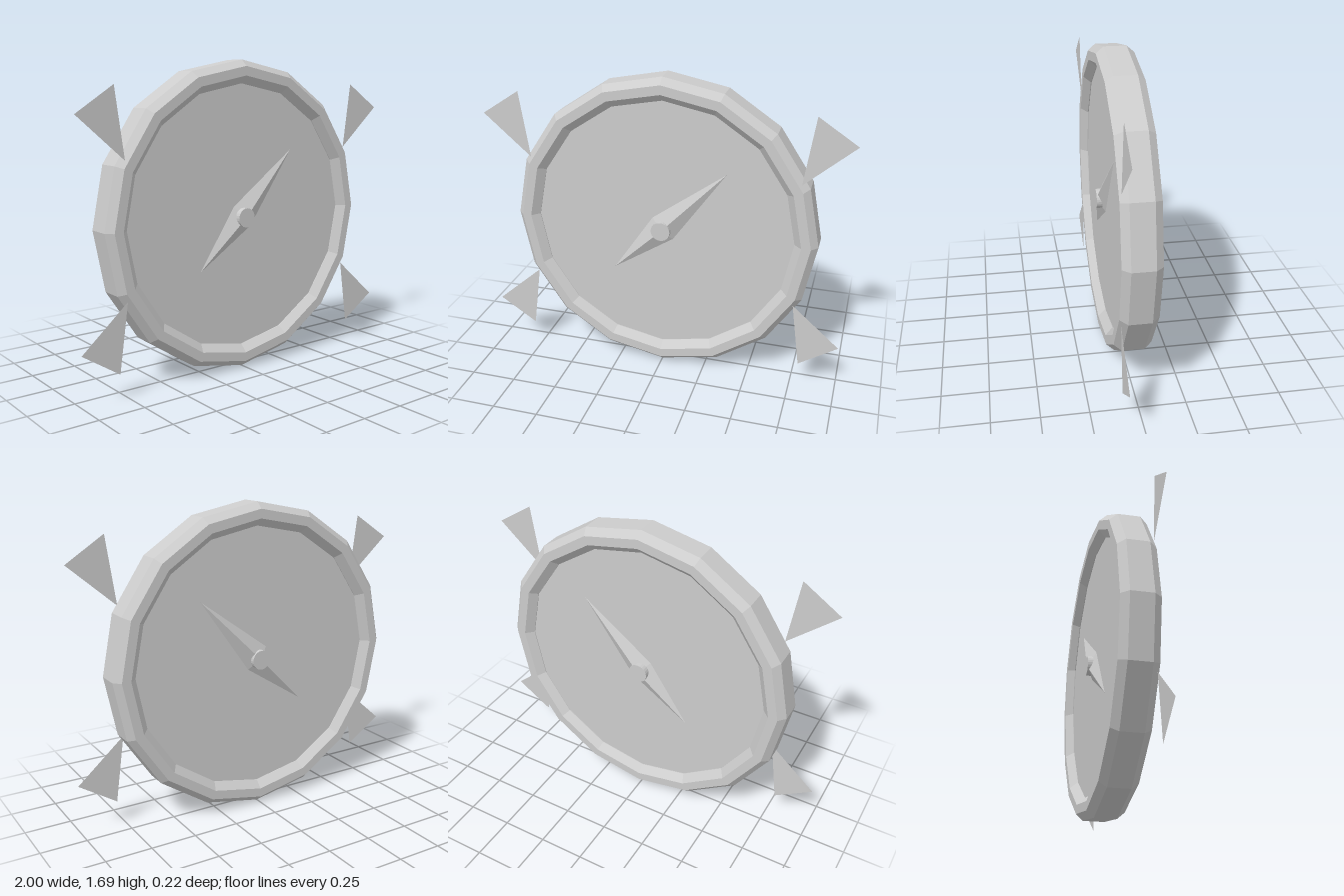
import * as THREE from 'three';

export function createModel() {
  const model = new THREE.Group();
  const cy = 0.845;
  const metal = new THREE.MeshStandardMaterial({ color: 0xcccccc });
  metal.name = 'grey';
  metal.flatShading = true;
  metal.side = THREE.DoubleSide;

  const add = (name, geometry) => {
    const mesh = new THREE.Mesh(geometry, metal);
    mesh.name = name;
    mesh.position.y = cy;
    model.add(mesh);
    return mesh;
  };

  // triangles from a flat list of corners
  const facets = (corners) => {
    const g = new THREE.BufferGeometry();
    g.setAttribute('position', new THREE.Float32BufferAttribute(corners.flat(), 3));
    g.computeVertexNormals();
    return g;
  };

  // sixteen-sided ring with a chamfered section
  const section = [
    [0.845, -0.06], [0.845, 0.06], [0.81, 0.1], [0.76, 0.1],
    [0.72, 0.06], [0.72, -0.06], [0.76, -0.1], [0.81, -0.1], [0.845, -0.06],
  ].map(([r, h]) => new THREE.Vector2(r, h));
  add('ring', new THREE.LatheGeometry(section, 16).rotateX(Math.PI / 2));

  // dial plate, closing the ring on both faces
  add('dial', new THREE.CylinderGeometry(0.722, 0.722, 0.112, 16).rotateX(Math.PI / 2));

  // hub running through both faces
  add('hub', new THREE.CylinderGeometry(0.053, 0.053, 0.216, 24).rotateX(Math.PI / 2));

  // ridged needle on the front and on the back
  for (const s of [1, -1]) {
    const rim = [[0.348, 0.353], [-0.055, 0.06], [-0.278, -0.273], [0.06, -0.055]]
      .map(([x, y]) => [x, y, 0.062 * s]);
    const peak = [0, 0, 0.105 * s];
    const corners = [];
    rim.forEach((a, i) => {
      const b = rim[(i + 1) % 4];
      corners.push(...(s > 0 ? [a, b, peak] : [b, a, peak]));
    });
    add(s > 0 ? 'frontNeedle' : 'backNeedle', facets(corners));
  }

  // four flat triangular points around the ring
  for (const sx of [1, -1]) {
    for (const sy of [1, -1]) {
      const tri = [[0.738, 0.35], [1, 0.578], [0.79, 0.715]]
        .map(([x, y]) => [x * sx, y * sy, 0.089]);
      if (sx * sy < 0) tri.reverse();
      add((sy > 0 ? 'upper' : 'lower') + (sx > 0 ? 'Left' : 'Right') + 'Point', facets(tri));
    }
  }

  return model;
}
